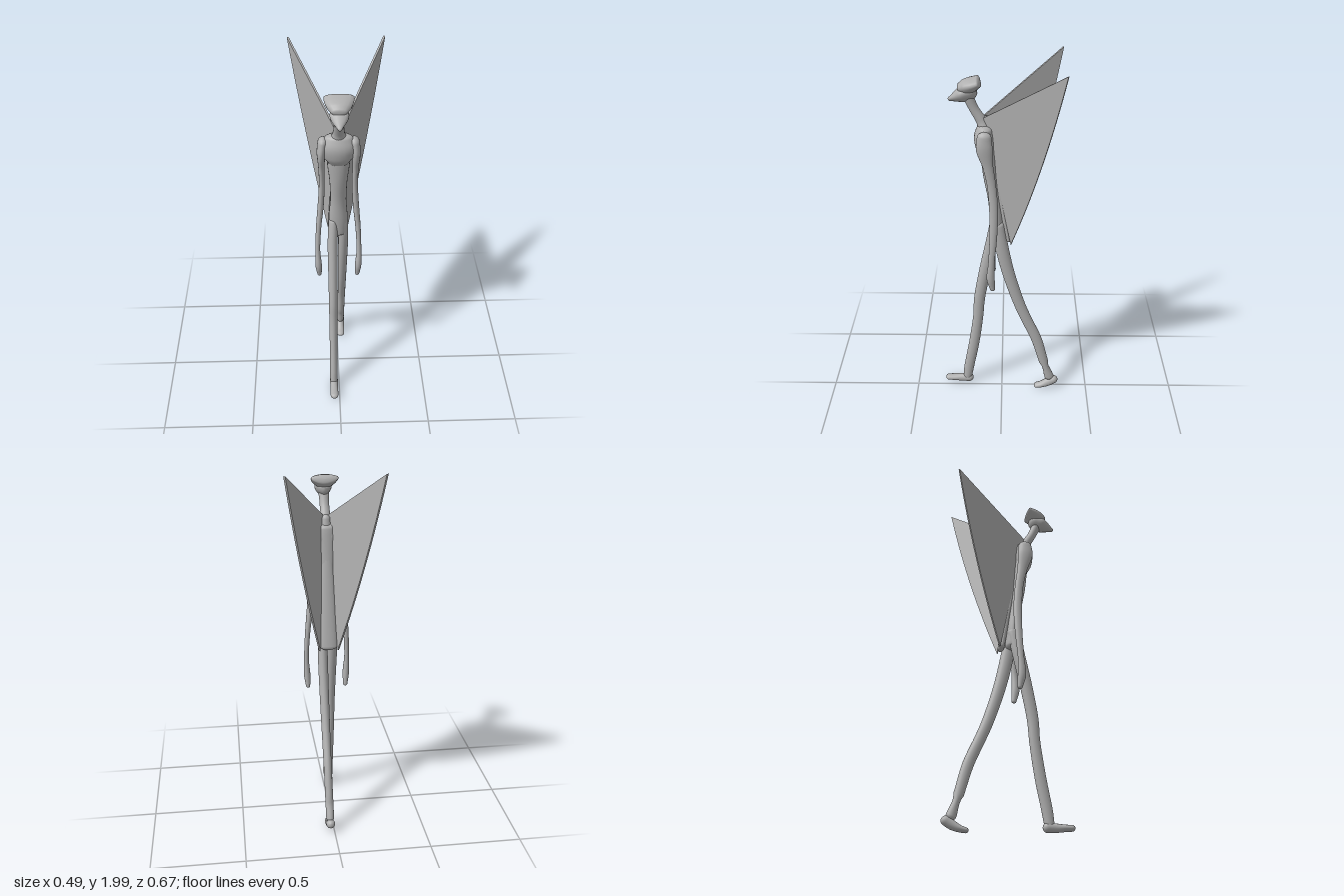
import * as THREE from 'three';

const skin = new THREE.MeshStandardMaterial({ color: 0xb0b0b0 });
skin.name = 'grey skin';

// Smooth body through stations [x, y, z, halfWidth, halfDepth], with rounded ends.
// flare widens the side of each ring that faces up on a forward path.
function loft(name, stations, { flare = 0, cap = 1, sides = 20, steps = 5 } = {}) {
  const centres = new THREE.CatmullRomCurve3(stations.map(s => new THREE.Vector3(s[0], s[1], s[2])));
  const radii = new THREE.CatmullRomCurve3(stations.map(s => new THREE.Vector3(s[3], s[4], 0)));
  const n = (stations.length - 1) * steps;
  const rings = [];
  const addRing = (t, angle, dir) => {
    const tangent = centres.getTangent(t);
    const r = radii.getPoint(t);
    const shift = dir * Math.sin(angle) * Math.min(r.x, r.y) * cap;
    const k = Math.cos(angle);
    const c = centres.getPoint(t).addScaledVector(tangent, shift);
    const normal = new THREE.Vector3(0, tangent.z, -tangent.y).normalize();
    rings.push({ c, normal, rx: r.x * k, rz: r.y * k });
  };
  for (let i = 4; i > 0; i--) addRing(0, i * Math.PI / 8, -1);
  for (let i = 0; i <= n; i++) addRing(i / n, 0, 0);
  for (let i = 1; i <= 4; i++) addRing(1, i * Math.PI / 8, 1);

  const pos = [], index = [];
  rings.forEach(({ c, normal, rx, rz }, i) => {
    for (let j = 0; j < sides; j++) {
      const a = j / sides * Math.PI * 2;
      const w = Math.cos(a) * rx * (1 + flare * Math.sin(a)), d = Math.sin(a) * rz;
      pos.push(c.x + w, c.y + normal.y * d, c.z + normal.z * d);
      if (i === rings.length - 1) continue;
      const p = i * sides + j, q = i * sides + (j + 1) % sides;
      index.push(p, q, p + sides, q, q + sides, p + sides);
    }
  });
  const geo = new THREE.BufferGeometry();
  geo.setAttribute('position', new THREE.Float32BufferAttribute(pos, 3));
  geo.setIndex(index);
  geo.computeVertexNormals();
  const mesh = new THREE.Mesh(geo, skin);
  mesh.name = name;
  return mesh;
}

// Thin, slightly bowed triangular wing on the model's left
function makeWing() {
  const top = new THREE.Vector3(0.018, 1.71, 0.09);
  const bottom = new THREE.Vector3(0.05, 1.0, -0.05);
  const tip = new THREE.Vector3(0.242, 1.997, -0.312);
  const e1 = bottom.clone().sub(top).normalize();
  const toTip = tip.clone().sub(top);
  const n = e1.clone().cross(toTip).normalize();
  const e2 = n.clone().cross(e1);
  const len = bottom.distanceTo(top);
  const tx = toTip.dot(e1), ty = toTip.dot(e2);
  const shape = new THREE.Shape();
  shape.moveTo(0, 0);
  shape.lineTo(len, 0);
  shape.quadraticCurveTo((len + tx) / 2 + 0.03, ty / 2 + 0.03, tx, ty);
  shape.lineTo(0, 0);
  const geo = new THREE.ExtrudeGeometry(shape, { depth: 0.01, bevelEnabled: false, curveSegments: 14 });
  geo.translate(0, 0, -0.005);
  geo.applyMatrix4(new THREE.Matrix4().makeBasis(e1, e2, n).setPosition(top));
  return new THREE.Mesh(geo, skin);
}

export function createModel() {
  const model = new THREE.Group();
  model.name = 'wingedWalker';

  // Torso, chest and spine plate
  model.add(loft('torso', [
    [0, 1.64, 0.08, 0.06, 0.04], [0, 1.5, 0.068, 0.058, 0.042], [0, 1.38, 0.055, 0.046, 0.042],
    [0, 1.25, 0.038, 0.042, 0.036], [0, 1.12, 0.028, 0.05, 0.036], [0, 1.03, 0.022, 0.045, 0.034],
  ], { cap: 0.7 }));
  model.add(loft('chest', [
    [0, 1.65, 0.085, 0.072, 0.042], [0, 1.6, 0.09, 0.088, 0.053],
    [0, 1.55, 0.085, 0.078, 0.05], [0, 1.51, 0.078, 0.055, 0.035],
  ], { cap: 0.5 }));
  model.add(loft('spinePlate', [
    [0, 1.69, 0.078, 0.022, 0.02], [0, 1.5, 0.045, 0.032, 0.018],
    [0, 1.25, 0.003, 0.042, 0.018], [0, 1.02, -0.036, 0.047, 0.018],
  ], { cap: 1.2 }));

  // Neck, muzzle and flared crest
  model.add(loft('neck', [
    [0, 1.64, 0.085, 0.045, 0.035], [0, 1.69, 0.105, 0.029, 0.027],
    [0, 1.75, 0.14, 0.025, 0.024], [0, 1.83, 0.175, 0.03, 0.028],
  ]));
  model.add(loft('muzzle', [
    [0, 1.835, 0.16, 0.04, 0.038], [0, 1.825, 0.195, 0.044, 0.04],
    [0, 1.812, 0.23, 0.03, 0.026], [0, 1.802, 0.258, 0.012, 0.012],
  ], { flare: 0.3 }));
  model.add(loft('crest', [
    [0, 1.888, 0.118, 0.07, 0.026], [0, 1.873, 0.15, 0.067, 0.036],
    [0, 1.862, 0.185, 0.054, 0.037], [0, 1.856, 0.21, 0.036, 0.026],
  ], { flare: 0.3, cap: 0.4 }));

  for (const s of [1, -1]) {
    const side = s > 0 ? 'left' : 'right';

    const wing = makeWing();
    wing.name = side + 'Wing';
    wing.scale.x = s;
    model.add(wing);

    // Shoulder, arm and mitten hand
    model.add(loft(side + 'Arm', [
      [s * 0.08, 1.63, 0.088, 0.024, 0.036], [s * 0.087, 1.57, 0.088, 0.022, 0.042],
      [s * 0.086, 1.47, 0.07, 0.016, 0.027], [s * 0.085, 1.36, 0.052, 0.015, 0.023],
      [s * 0.092, 1.22, 0.042, 0.016, 0.023], [s * 0.106, 1.06, 0.045, 0.014, 0.02],
      [s * 0.112, 0.92, 0.055, 0.013, 0.017], [s * 0.109, 0.82, 0.06, 0.018, 0.022],
      [s * 0.105, 0.75, 0.05, 0.012, 0.014],
    ]));
  }

  // Right leg strides forward, left leg trails
  model.add(loft('rightLeg', [
    [-0.026, 1.1, 0.03, 0.026, 0.034], [-0.031, 0.97, 0.055, 0.027, 0.034],
    [-0.031, 0.8, 0.092, 0.026, 0.033], [-0.031, 0.6, 0.128, 0.024, 0.031],
    [-0.031, 0.48, 0.137, 0.023, 0.029], [-0.031, 0.28, 0.165, 0.022, 0.03],
    [-0.031, 0.12, 0.195, 0.022, 0.029], [-0.031, 0.05, 0.205, 0.022, 0.026],
  ]));
  model.add(loft('rightFoot', [
    [-0.031, 0.035, 0.195, 0.024, 0.026], [-0.031, 0.034, 0.24, 0.022, 0.023],
    [-0.031, 0.035, 0.285, 0.023, 0.018], [-0.031, 0.036, 0.32, 0.022, 0.016],
  ]));
  model.add(loft('leftLeg', [
    [0.026, 1.1, 0.02, 0.026, 0.034], [0.028, 0.97, 0.0, 0.027, 0.036],
    [0.027, 0.8, -0.038, 0.026, 0.034], [0.026, 0.6, -0.1, 0.024, 0.031],
    [0.026, 0.5, -0.14, 0.023, 0.03], [0.026, 0.36, -0.2, 0.022, 0.03],
    [0.024, 0.2, -0.245, 0.022, 0.027], [0.023, 0.09, -0.28, 0.022, 0.027],
  ]));
  model.add(loft('leftFoot', [
    [0.023, 0.066, -0.307, 0.024, 0.025], [0.023, 0.046, -0.275, 0.023, 0.025],
    [0.023, 0.028, -0.235, 0.023, 0.018], [0.023, 0.021, -0.205, 0.021, 0.014],
  ]));

  return model;
}
